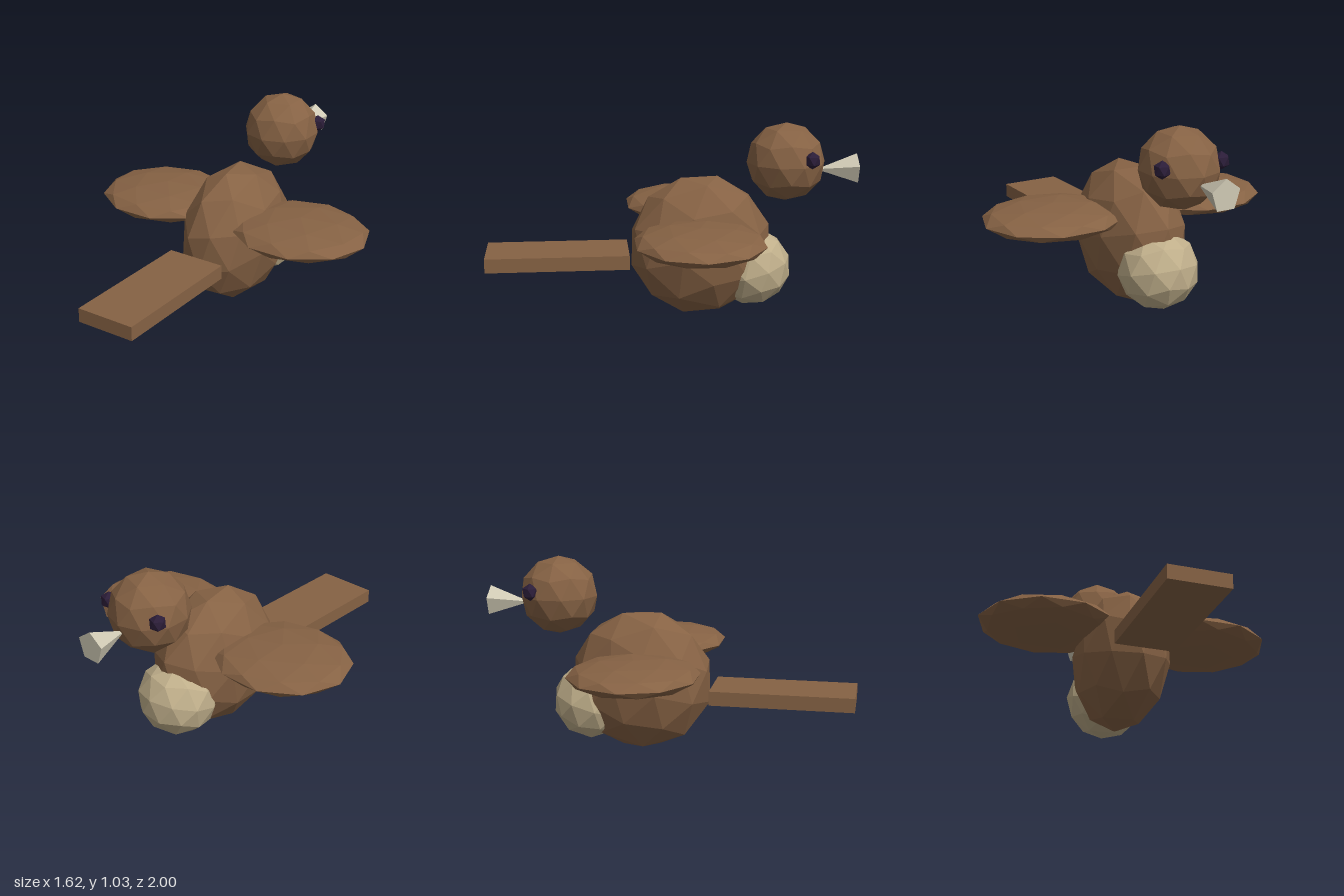
import * as THREE from 'three';

const makeMaterial = (name, color) => {
  const m = new THREE.MeshStandardMaterial({ color });
  m.name = name;
  return m;
};

// Faceted unit ball with a corner at each pole, turned about y by yaw
function facetedBall(detail, yaw) {
  const g = new THREE.IcosahedronGeometry(1, detail);
  g.rotateX(-Math.atan((1 + Math.sqrt(5)) / 2));
  g.rotateY(yaw);
  g.computeVertexNormals();
  return g;
}

export function createModel() {
  const brown = makeMaterial('brown feathers', 0x866244);
  const cream = makeMaterial('cream breast', 0xbfae8a);
  const bone = makeMaterial('pale beak', 0xcfc9b4);
  const dark = makeMaterial('dark eyes', 0x2b1d38);

  const bird = new THREE.Group();
  bird.name = 'bird';
  const add = (name, geometry, material, position, scale = [1, 1, 1], tilt = 0) => {
    const mesh = new THREE.Mesh(geometry, material);
    mesh.name = name;
    mesh.position.set(...position);
    mesh.scale.set(...scale);
    mesh.rotation.x = tilt;
    bird.add(mesh);
  };

  const ball = facetedBall(1, -Math.PI / 2);
  const wingBall = facetedBall(1, Math.PI);
  const eyeBall = facetedBall(0, -Math.PI / 2);

  // Body, breast and floating head; the bird looks toward -z
  add('body', ball, brown, [0, 0.374, -0.153], [0.255, 0.387, 0.389], 0.28);
  add('breast', ball, cream, [0, 0.243, -0.435], [0.215, 0.21, 0.213], 0.28);
  add('head', ball, brown, [0, 0.825, -0.612], [0.208, 0.212, 0.212]);

  // Mirrored wings and eyes
  for (const [side, s] of [['left', 1], ['right', -1]]) {
    add(side + 'Wing', wingBall, brown, [s * 0.432, 0.505, -0.105], [0.377, 0.076, 0.342]);
    add(side + 'Eye', eyeBall, dark, [s * 0.172, 0.863, -0.722], [0.045, 0.047, 0.045]);
  }

  // Five-sided beak, narrow end set into the head
  const cone = new THREE.ConeGeometry(0.084, 0.22, 5);
  cone.rotateY(Math.PI);
  cone.rotateX(Math.PI / 2);
  const beak = cone.toNonIndexed();
  beak.computeVertexNormals();
  add('beak', beak, bone, [0, 0.779, -0.89]);

  // Flat tail board
  add('tail', new THREE.BoxGeometry(0.326, 0.076, 0.762), brown, [0, 0.327, 0.619]);

  return bird;
}
